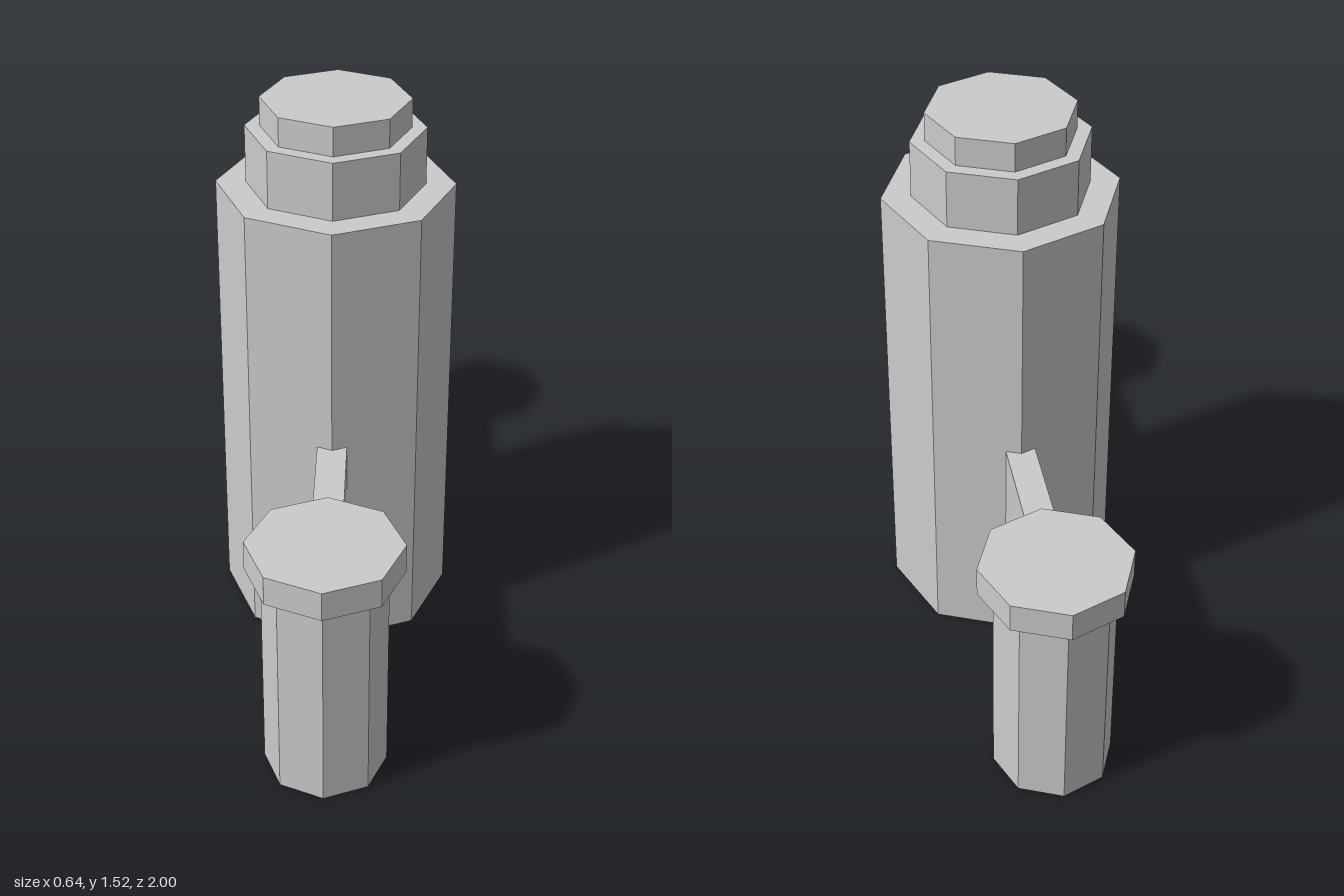
import * as THREE from 'three';

const material = new THREE.MeshStandardMaterial({ color: 0xcccccc, flatShading: true });

// Eight-sided prism with corners on the x and z axes
function prism(name, radius, bottom, top, z = 0) {
  const mesh = new THREE.Mesh(new THREE.CylinderGeometry(radius, radius, top - bottom, 8), material);
  mesh.name = name;
  mesh.position.set(0, (bottom + top) / 2, z);
  return mesh;
}

export function createModel() {
  const model = new THREE.Group();
  model.name = 'fortress';

  // Stepped central tower
  const keep = new THREE.Group();
  keep.name = 'centralTower';
  keep.add(
    prism('towerShaft', 0.32, 0, 1.28),
    prism('towerUpperTier', 0.24, 1.28, 1.44),
    prism('towerTopTier', 0.2, 1.44, 1.52),
  );
  model.add(keep);

  // Capped turret and connecting wall, front and back
  for (const [side, sign] of [['front', 1], ['back', -1]]) {
    const turret = new THREE.Group();
    turret.name = side + 'Turret';
    turret.add(
      prism('turretShaft', 0.16, 0, 0.6, sign * 0.8),
      prism('turretCap', 0.2, 0.6, 0.68, sign * 0.8),
    );
    model.add(turret);

    const wall = new THREE.Mesh(new THREE.BoxGeometry(0.08, 0.64, 0.42), material);
    wall.name = side + 'Wall';
    wall.position.set(0, 0.32, sign * 0.48);
    model.add(wall);
  }
  return model;
}
